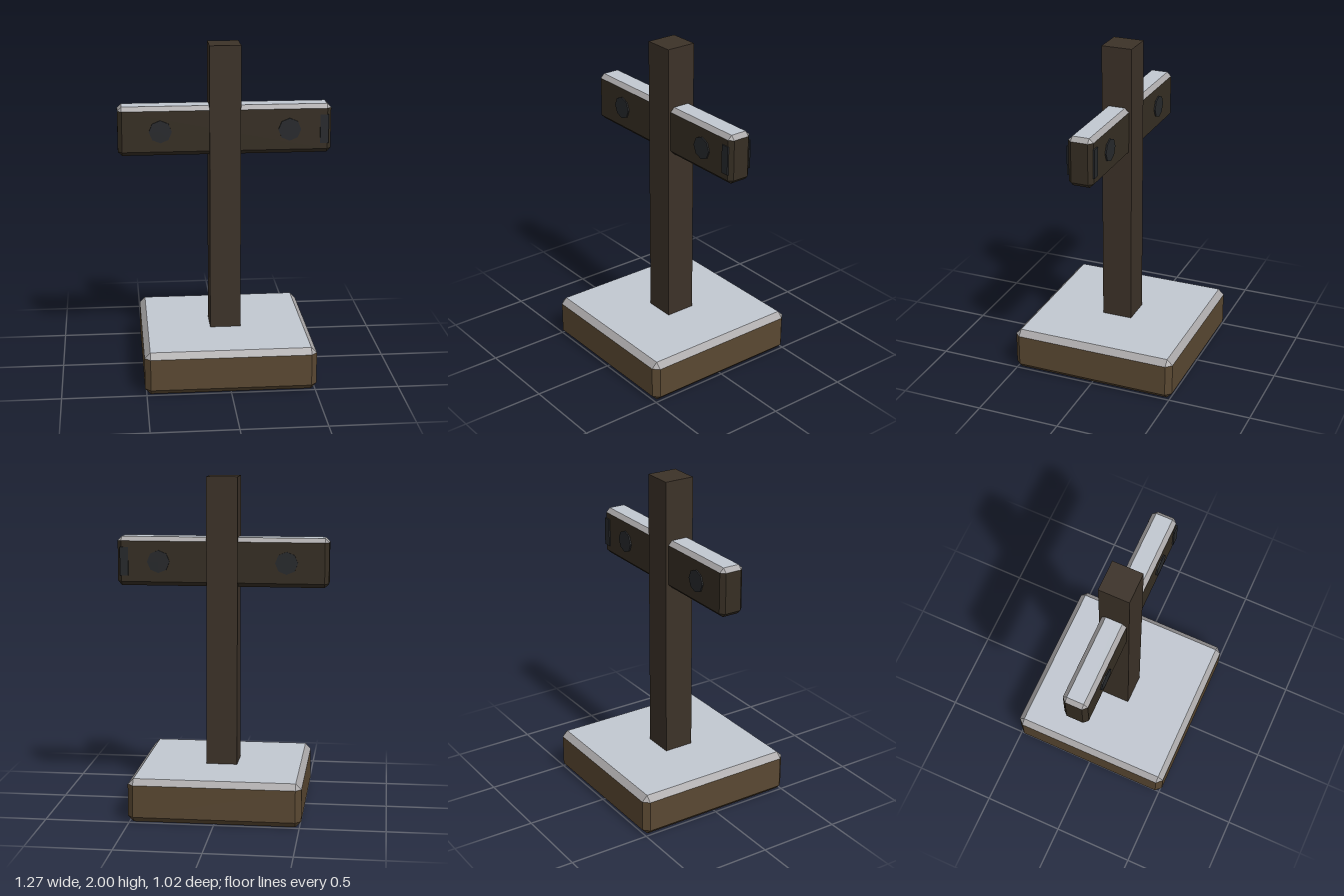
import * as THREE from 'three';

const mat = (name, color) => {
  const m = new THREE.MeshStandardMaterial({ color });
  m.name = name;
  return m;
};

// Box with bevelled edges and corners; groups: 0 body, 1 top face, 2 upper bevels
function bevelledBox(w, h, d, c) {
  const half = [w / 2, h / 2, d / 2];
  const buckets = [[], [], []];
  const signs = [-1, 0, 1];
  const corners = [];
  for (const x of [-1, 1]) for (const y of [-1, 1]) for (const z of [-1, 1]) corners.push([x, y, z]);

  for (const nx of signs) for (const ny of signs) for (const nz of signs) {
    const n = [nx, ny, nz];
    const used = [0, 1, 2].filter((a) => n[a] !== 0);
    if (!used.length) continue;
    // corner points that lie on the face with this normal
    const pts = [];
    for (const s of corners) {
      if (!used.every((a) => s[a] === n[a])) continue;
      for (const a of used) {
        pts.push(new THREE.Vector3(...s.map((v, i) => v * (half[i] - (i === a ? 0 : c)))));
      }
    }
    // order them counter-clockwise about the normal
    const normal = new THREE.Vector3(...n).normalize();
    const mid = pts.reduce((m, p) => m.add(p), new THREE.Vector3()).divideScalar(pts.length);
    const u = pts[0].clone().sub(mid).normalize();
    const v = normal.clone().cross(u);
    const angle = (p) => {
      const q = p.clone().sub(mid);
      return Math.atan2(q.dot(v), q.dot(u));
    };
    pts.sort((a, b) => angle(a) - angle(b));
    const bucket = buckets[ny <= 0 ? 0 : used.length === 1 ? 1 : 2];
    for (let i = 1; i < pts.length - 1; i++) {
      for (const p of [pts[0], pts[i], pts[i + 1]]) bucket.push(p.x, p.y, p.z);
    }
  }
  const geo = new THREE.BufferGeometry();
  geo.setAttribute('position', new THREE.Float32BufferAttribute(buckets.flat(), 3));
  let start = 0;
  buckets.forEach((b, i) => {
    geo.addGroup(start, b.length / 3, i);
    start += b.length / 3;
  });
  geo.computeVertexNormals();
  return geo;
}

export function createModel() {
  const model = new THREE.Group();
  model.name = 'signpost';

  const baseWood = mat('base brown', 0x5a4832);
  const postWood = mat('post dark brown', 0x3c3228);
  const armWood = mat('arm dark brown', 0x362e23);
  const snow = mat('snow', 0xc2c8d1);
  const snowEdge = mat('snow edge grey', 0xa8a6a7);
  const iron = mat('iron', 0x27292c);

  const add = (name, geo, material, x, y, z) => {
    const mesh = new THREE.Mesh(geo, material);
    mesh.name = name;
    mesh.position.set(x, y, z);
    model.add(mesh);
    return mesh;
  };

  // Foot, upright and cross arm
  add('base', bevelledBox(1.02, 0.26, 1.02, 0.034), [baseWood, snow, snowEdge], 0, 0.13, 0);
  add('post', new THREE.BoxGeometry(0.186, 1.8, 0.186), postWood, 0, 1.1, 0);
  add('crossArm', bevelledBox(1.27, 0.295, 0.152, 0.025), [armWood, snow, snowEdge], 0, 1.492, 0);

  // Bolt heads and end plate on both faces of the arm
  const bolt = new THREE.CylinderGeometry(0.068, 0.068, 0.009, 8).toNonIndexed();
  bolt.rotateX(Math.PI / 2);
  bolt.computeVertexNormals();
  const plate = new THREE.BoxGeometry(0.05, 0.172, 0.009);
  for (const side of [1, -1]) {
    const face = side > 0 ? 'Front' : 'Back';
    for (const x of [-0.384, 0.384]) {
      add((x > 0 ? 'left' : 'right') + 'Bolt' + face, bolt, iron, x, 1.492, side * 0.0795);
    }
    add('endPlate' + face, plate, iron, 0.592, 1.492, side * 0.0795);
  }
  return model;
}
